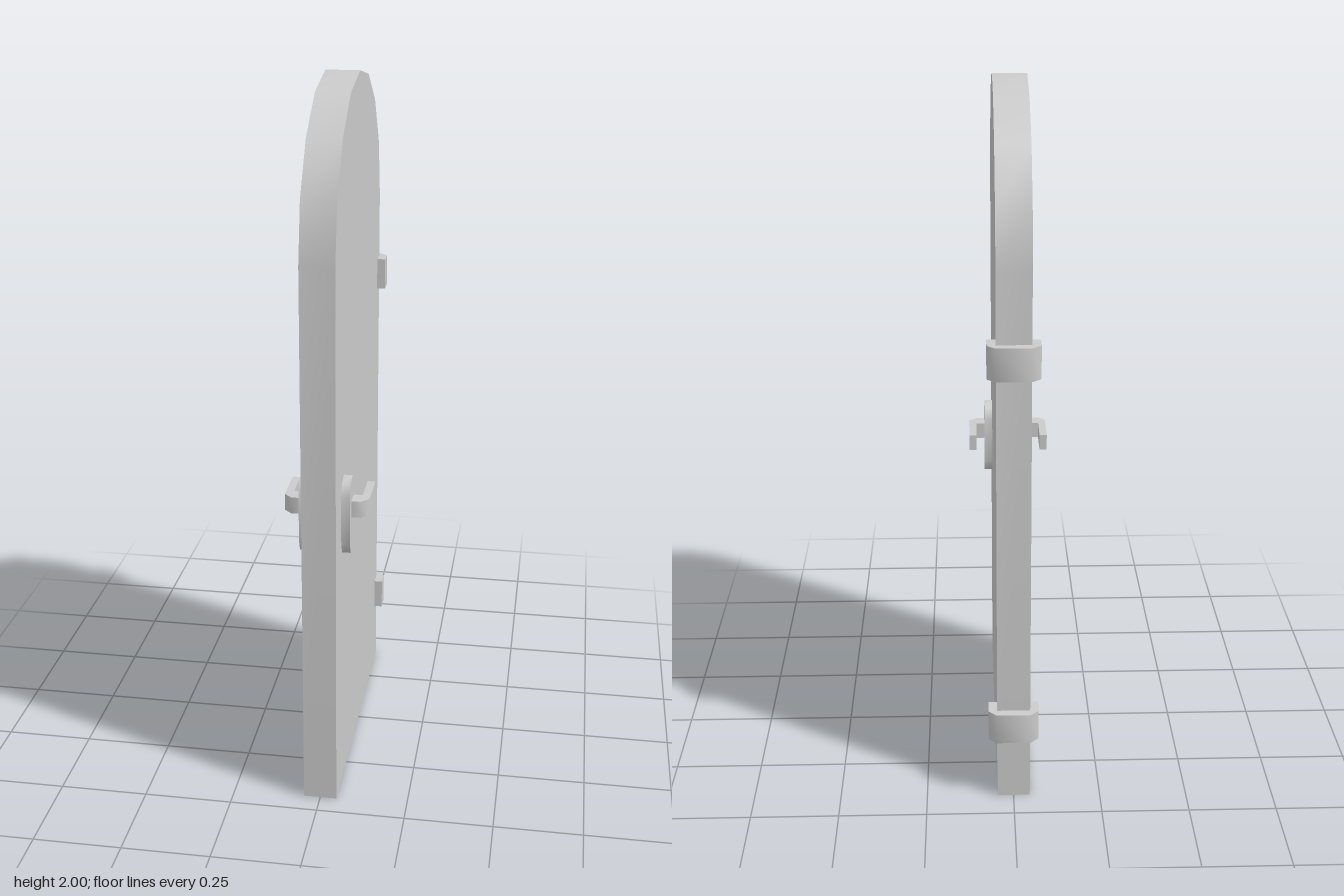
import * as THREE from 'three';
import { toCreasedNormals } from 'three/addons/utils/BufferGeometryUtils.js';

const grey = new THREE.MeshStandardMaterial({ color: 0xcccccc });
const CREASE = THREE.MathUtils.degToRad(50);
const DOOR_X = 0.047; // half thickness of the door
const PLATE_X = 0.071; // outer face of plates and hinges

const extrude = (points, depth) => new THREE.ExtrudeGeometry(
  new THREE.Shape(points.map(([a, b]) => new THREE.Vector2(a, b))),
  { depth, bevelEnabled: false },
);

function addMesh(parent, name, geometry) {
  const mesh = new THREE.Mesh(toCreasedNormals(geometry, CREASE), grey);
  mesh.name = name;
  parent.add(mesh);
  return mesh;
}

// Outline of [z, y] points, extruded from x0 to x1
function sideSlab(points, x0, x1) {
  return extrude(points, x1 - x0).rotateY(-Math.PI / 2).translate(x1, 0, 0);
}

// Outline of [x, z] points, extruded from y0 to y1
function planSlab(points, y0, y1) {
  return extrude(points.map(([x, z]) => [x, -z]), y1 - y0)
    .rotateX(-Math.PI / 2).translate(0, y0, 0);
}

// Points of a half circle, from start angle counterclockwise
function halfCircle(cz, cy, r, start, segments) {
  return Array.from({ length: segments + 1 }, (_, i) => {
    const a = start + (Math.PI * i) / segments;
    return [cz + r * Math.cos(a), cy + r * Math.sin(a)];
  });
}

export function createModel() {
  const model = new THREE.Group();
  model.name = 'archedDoor';

  // Door leaf with round top
  addMesh(model, 'doorLeaf', sideSlab(
    [[-0.415, 0], [0.437, 0], ...halfCircle(0.011, 1.574, 0.426, 0, 8)],
    -DOOR_X, DOOR_X,
  ));

  // Backplate and lever handle on each face
  const plate = [
    ...halfCircle(0.296, 0.906, 0.047, 0, 4),
    ...halfCircle(0.296, 0.767, 0.047, Math.PI, 4),
  ];
  const lever = [
    [PLATE_X, 0.272], [0.096, 0.272], [0.096, 0.175], [0.118, 0.175],
    [0.118, 0.297], [0.097, 0.318], [PLATE_X, 0.318],
  ];
  for (const [side, s] of [['left', 1], ['right', -1]]) {
    const x0 = s > 0 ? DOOR_X : -PLATE_X;
    addMesh(model, `${side}Backplate`, sideSlab(plate, x0, x0 + PLATE_X - DOOR_X));
    addMesh(model, `${side}Lever`, planSlab(lever.map(([x, z]) => [s * x, z]), 0.837, 0.885));
  }

  // Hinge brackets wrapped around the back edge
  const half = [[DOOR_X, -0.415], [DOOR_X, -0.37], [PLATE_X, -0.37], [PLATE_X, -0.418], [0.048, -0.44]];
  const bracket = [...half, ...half.map(([x, z]) => [-x, z]).reverse()];
  addMesh(model, 'lowerHinge', planSlab(bracket, 0.195, 0.287));
  addMesh(model, 'upperHinge', planSlab(bracket, 1.29, 1.382));

  return model;
}
